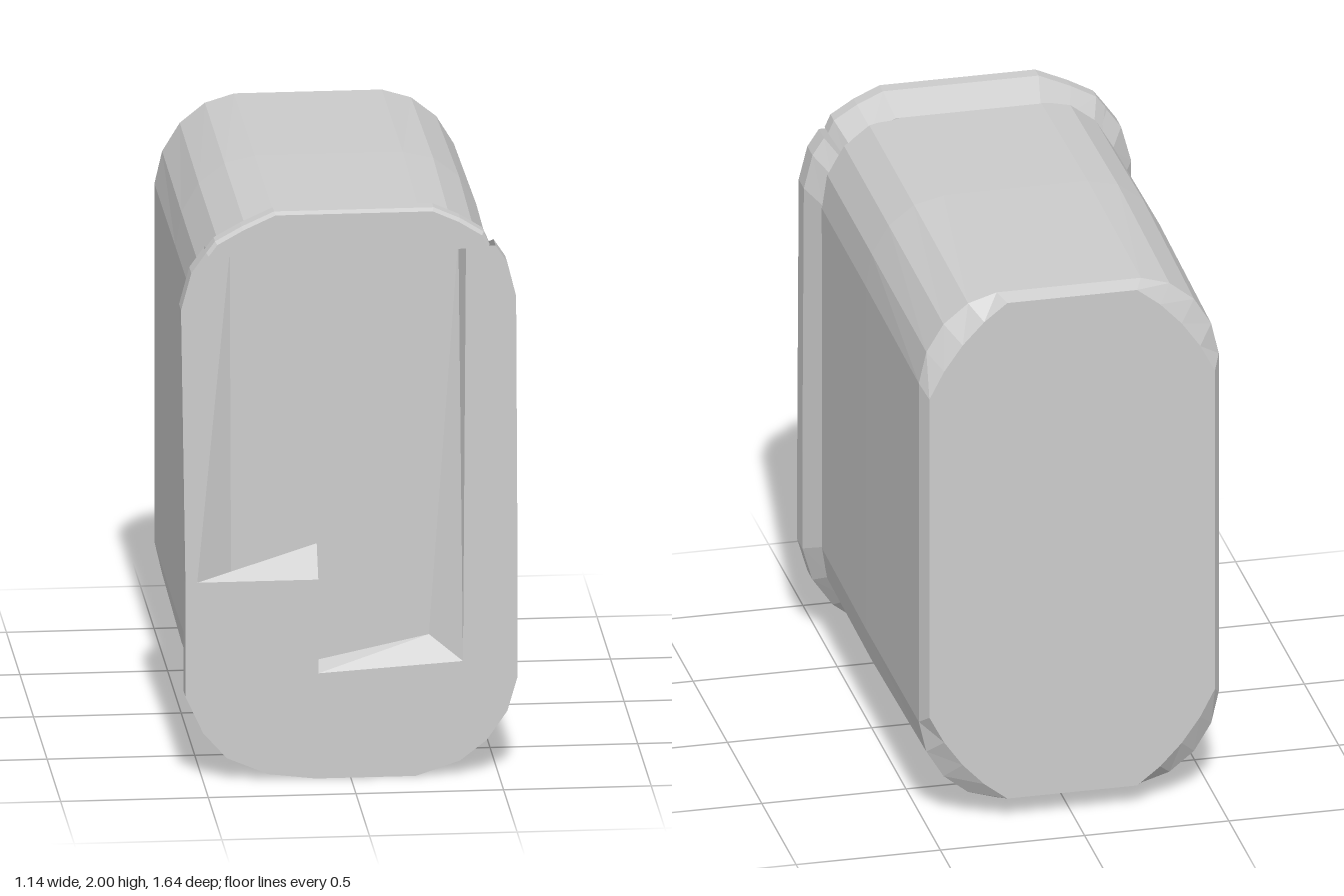
import * as THREE from 'three';

const material = new THREE.MeshStandardMaterial({ color: 0xcccccc, flatShading: true, side: THREE.DoubleSide });
const at = (pts, z) => pts.map(([x, y]) => [x, y, z]);
const inset = (pts, sx, sy) => pts.map(([x, y]) => [x * sx, 1 + (y - 1) * sy]);

// Skin rings of equal length, ordered back to front, with optional end caps.
function loft(name, rings, { closed = true, back = false, front = false } = {}) {
  const pos = [];
  const tri = (a, b, c) => pos.push(...a, ...b, ...c);
  for (let i = 0; i < rings.length - 1; i++) {
    const r = rings[i], s = rings[i + 1], n = r.length;
    for (let j = 0; j < (closed ? n : n - 1); j++) {
      const k = (j + 1) % n;
      tri(r[j], r[k], s[k]);
      tri(r[j], s[k], s[j]);
    }
  }
  const cap = (ring, forward) => {
    const flat = ring.map(([x, y]) => new THREE.Vector2(x, y));
    const same = THREE.ShapeUtils.isClockWise(flat) !== forward;
    for (const [a, b, c] of THREE.ShapeUtils.triangulateShape(flat, [])) {
      if (same) tri(ring[a], ring[b], ring[c]);
      else tri(ring[a], ring[c], ring[b]);
    }
  };
  if (back) cap(rings[0], false);
  if (front) cap(rings[rings.length - 1], true);
  const g = new THREE.BufferGeometry();
  g.setAttribute('position', new THREE.Float32BufferAttribute(pos, 3));
  g.computeVertexNormals();
  const mesh = new THREE.Mesh(g, material);
  mesh.name = name;
  return mesh;
}

// Rounded upright section; flatten pulls the corner arcs towards plain chamfers.
function section(w, y0, y1, rx, ry, flatten = 0) {
  const pts = [], steps = 4;
  for (let q = 0; q < 4; q++) {
    const sx = q === 0 || q === 3 ? 1 : -1, sy = q < 2 ? 1 : -1;
    for (let i = 0; i <= steps; i++) {
      const t = i / steps, a = (q + t) * Math.PI / 2;
      const u = q % 2 ? t : 1 - t;
      const c = THREE.MathUtils.lerp(Math.abs(Math.cos(a)), u, flatten);
      const s = THREE.MathUtils.lerp(Math.abs(Math.sin(a)), 1 - u, flatten);
      pts.push([sx * (w - rx + rx * c), sy > 0 ? y1 - ry + ry * s : y0 + ry - ry * s]);
    }
  }
  return pts;
}

export function createModel() {
  const model = new THREE.Group();

  // Long housing with a small bevel around the back
  model.add(loft('housing', [
    at(section(0.495, 0.08, 1.925, 0.27, 0.33, 0.65), -0.82),
    at(section(0.52, 0.065, 1.945, 0.27, 0.31, 0.12), -0.77),
    at(section(0.52, 0.06, 1.955, 0.27, 0.31), 0),
    at(section(0.515, 0.06, 1.945, 0.27, 0.31), 0.67),
  ], { back: true, front: true }));

  // Flared rim around the sides and bottom
  const rimEdge = [
    [-0.49, 1.86], [-0.54, 1.79], [-0.575, 1.66], [-0.56, 0.7], [-0.56, 0.3], [-0.5, 0.17],
    [-0.42, 0.08], [-0.28, 0.02], [-0.12, 0], [0.22, 0], [0.37, 0.05], [0.46, 0.12],
    [0.53, 0.22], [0.565, 0.34], [0.565, 0.7], [0.56, 1.68], [0.53, 1.8], [0.49, 1.86],
  ];
  model.add(loft('rim', [
    at(inset(rimEdge, 0.91, 0.945), 0.655),
    at(rimEdge, 0.735),
    at(rimEdge, 0.81),
  ], { closed: false }));

  // Front face of the rim, cut away around the stepped opening
  const opening = [[0.39, 1.86], [0.38, 0.4], [-0.11, 0.37], [-0.11, 0.7], [-0.52, 0.7], [-0.41, 1.86]];
  model.add(loft('frontFace', [at([...opening, ...rimEdge], 0.81)], { front: true }));

  // Shallow recess: sloped walls and the panel behind them
  const panel = [[0.37, 1.87], [0.27, 0.48], [-0.11, 0.4], [-0.11, 0.81], [-0.4, 0.71], [-0.405, 1.87]];
  model.add(loft('recessWalls', [at(panel, 0.75), at(opening, 0.81)], { closed: false }));
  model.add(loft('recessPanel', [at(panel, 0.75)], { front: true }));

  // Projecting lip across the top
  const lip = [
    [-0.49, 1.86], [0.47, 1.865], [0.45, 1.91], [0.37, 1.96], [0.28, 2],
    [-0.26, 2], [-0.37, 1.95], [-0.46, 1.9],
  ];
  model.add(loft('topLip', [
    at(inset(lip, 0.93, 0.945), 0.655),
    at(lip, 0.76),
    at(lip, 0.81),
    at(inset(lip, 0.985, 0.99), 0.825),
  ], { back: true, front: true }));

  return model;
}
